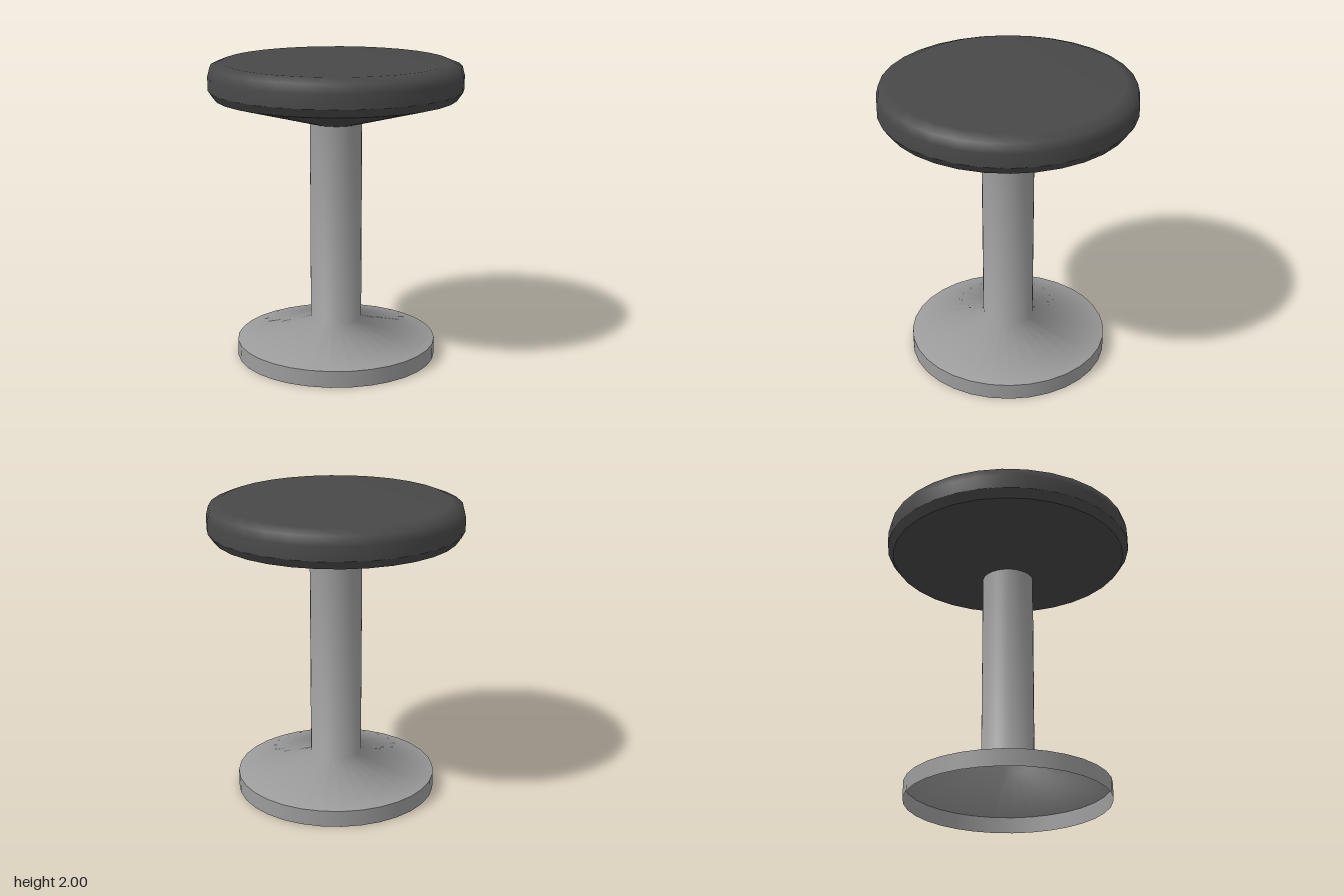
import * as THREE from 'three';

const SIDES = 32;

export function createModel() {
  const stool = new THREE.Group();
  stool.name = 'stool';

  const cushionBlack = new THREE.MeshStandardMaterial({ color: 0x484848, side: THREE.DoubleSide });
  cushionBlack.name = 'cushionBlack';
  const metalGrey = new THREE.MeshStandardMaterial({ color: 0x9c9c9c, side: THREE.DoubleSide });
  metalGrey.name = 'metalGrey';

  // Each part is a round shell; separate lathes keep the edges between them sharp
  const addRound = (name, material, profile) => {
    const points = profile.map(([r, y]) => new THREE.Vector2(r, y));
    const mesh = new THREE.Mesh(new THREE.LatheGeometry(points, SIDES), material);
    mesh.name = name;
    stool.add(mesh);
  };

  // Hollow foot, open underneath, flowing into the tubular column
  addRound('footRim', metalGrey, [[0.67, 0], [0.67, 0.11]]);
  addRound('footAndColumn', metalGrey, [[0.67, 0.11], [0.172, 0.25], [0.172, 1.595]]);

  // Seat: conical underside, bevelled lower edge, rounded cushion
  addRound('seatUnderside', cushionBlack, [[0.172, 1.595], [0.797, 1.765]]);
  addRound('seatLowerEdge', cushionBlack, [[0.797, 1.765], [0.835, 1.82]]);
  addRound('seatCushion', cushionBlack, [
    [0.835, 1.82], [0.835, 1.912], [0.82, 1.97], [0.745, 2], [0, 2],
  ]);

  return stool;
}
